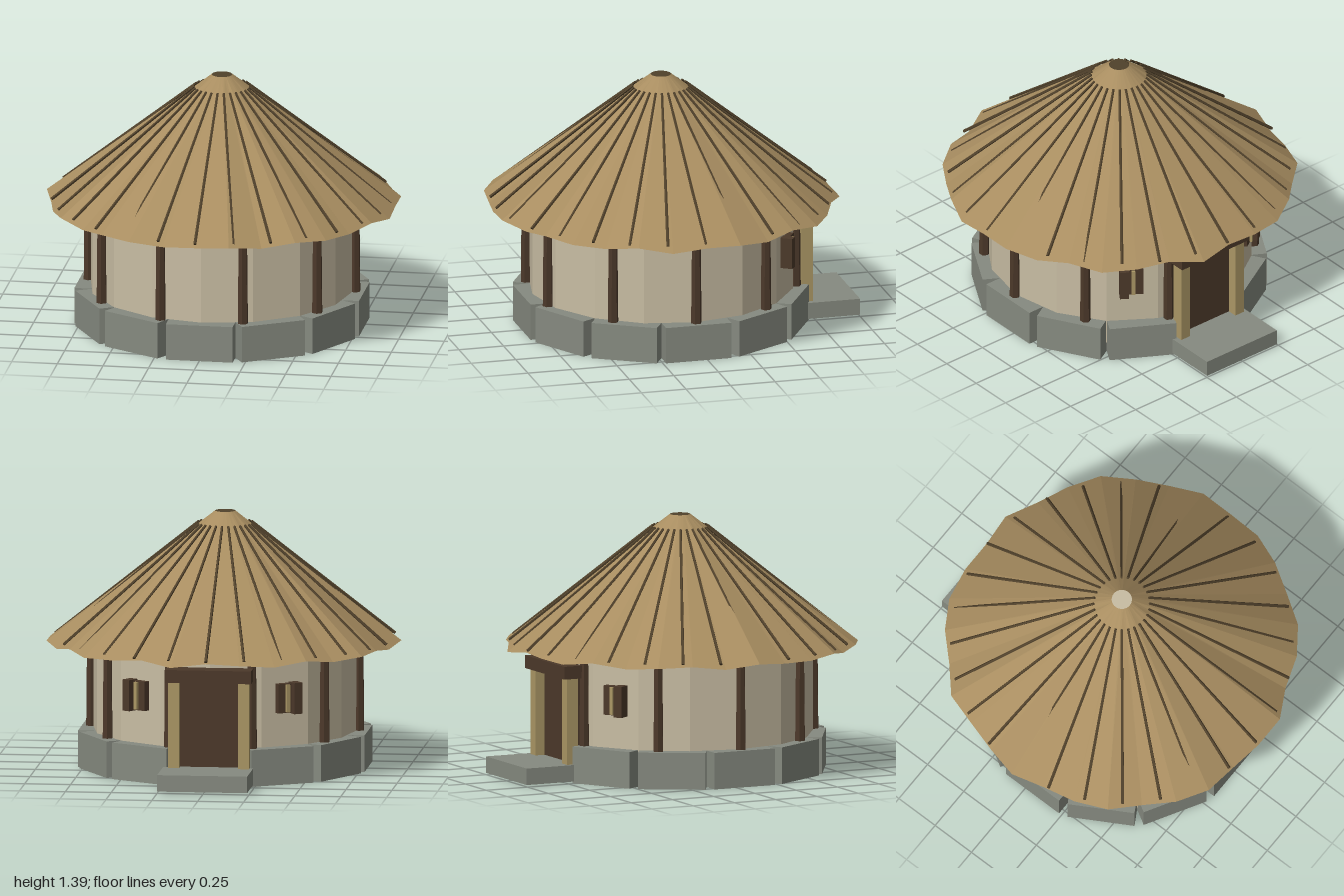
import * as THREE from 'three';

const mat = (color, side = THREE.FrontSide) =>
  new THREE.MeshStandardMaterial({ color, side, flatShading: true });

export function createModel() {
  const thatch = mat(0xa88d60, THREE.DoubleSide);
  const plaster = mat(0xc8bda3);
  const stone = mat(0x868a80);
  const darkWood = mat(0x4c392a);
  const paleWood = mat(0xab9765);
  const rope = mat(0x50412b);

  const model = new THREE.Group();
  model.name = 'roundHut';
  const hut = new THREE.Group();
  hut.name = 'hut';
  hut.position.z = 0.05;
  model.add(hut);

  const add = (name, geometry, material, x = 0, y = 0, z = 0, parent = hut) => {
    const mesh = new THREE.Mesh(geometry, material);
    mesh.name = name;
    mesh.position.set(x, y, z);
    parent.add(mesh);
    return mesh;
  };
  const box = (name, w, h, d, material, x, y, z, parent) =>
    add(name, new THREE.BoxGeometry(w, h, d), material, x, y, z, parent);
  // Point at an angle around the hut, measured from the front
  const around = (angle, r, y) =>
    new THREE.Vector3(r * Math.sin(angle), y, r * Math.cos(angle));

  // Foundation: twelve blocks, the one under the door is a low threshold
  for (let i = 0; i < 12; i++) {
    const a = (i / 12) * Math.PI * 2;
    const h = i === 6 ? 0.1 : 0.2;
    const p = around(a, 0.68, h / 2);
    box(i === 6 ? 'threshold' : 'foundationStone', 0.366, h, 0.2, stone, p.x, p.y, p.z).rotation.y = a;
  }

  // Plastered wall, closed by floor and ceiling
  add('wall', new THREE.CylinderGeometry(0.72, 0.72, 0.66, 16), plaster, 0, 0.39, 0);

  // Wall posts
  for (let i = 0; i < 10; i++) {
    const p = around(((i + 0.5) / 10) * Math.PI * 2, 0.73, 0.435);
    add('wallPost', new THREE.CylinderGeometry(0.024, 0.03, 0.57, 6), darkWood, p.x, p.y, p.z);
  }

  // Thatched roof with an open smoke hole, ragged eaves and a soffit
  const eaves = [
    0.94, 0.96, 0.92, 0.95, 0.96, 0.94, 0.95, 0.967, 0.95, 0.97, 0.95, 0.946, 0.976, 0.95, 0.93, 0.97,
    0.93, 0.95, 0.97, 0.96, 0.94, 0.97, 0.935, 0.93, 0.96, 0.925, 0.94, 0.96, 0.93, 0.957, 0.965, 0.93,
  ];
  const profile = [[0.055, 1.39], [0.95, 0.685], [0.66, 0.71]].map(([r, y]) => new THREE.Vector2(r, y));
  const roof = new THREE.LatheGeometry(profile, 32);
  for (let i = 0; i <= 32; i++) {
    const k = i % 32;
    const p = around((k / 32) * Math.PI * 2, eaves[k], 0.685 + 0.013 * Math.sin(k * 2.4));
    roof.attributes.position.setXYZ(i * 3 + 1, p.x, p.y, p.z);
  }
  roof.computeVertexNormals();
  add('roof', roof, thatch);

  // Thin battens holding the thatch down
  const up = new THREE.Vector3(0, 1, 0);
  for (let i = 0; i < 28; i++) {
    const a = (i / 28) * Math.PI * 2;
    const top = around(a, 0.15, 1.325);
    const end = around(a, 0.925, 0.703);
    const dir = top.clone().sub(end);
    const mid = top.clone().add(end).multiplyScalar(0.5);
    const batten = add('roofBatten', new THREE.CylinderGeometry(0.007, 0.009, dir.length(), 5), rope, mid.x, mid.y, mid.z);
    batten.quaternion.setFromUnitVectors(up, dir.normalize());
  }

  // Doorway at the back: panel, jambs, lintel and step
  box('door', 0.33, 0.48, 0.06, darkWood, 0, 0.34, -0.71);
  for (const s of [-1, 1]) box('doorJamb', 0.06, 0.48, 0.065, paleWood, s * 0.19, 0.335, -0.7625);
  box('lintel', 0.47, 0.07, 0.11, darkWood, 0, 0.605, -0.765);
  box('doorStep', 0.49, 0.09, 0.3, stone, 0.005, 0.055, -0.9);

  // A shuttered window on each side of the door
  for (const s of [-1, 1]) {
    const a = Math.PI - s * 0.6;
    const win = new THREE.Group();
    win.name = 'window';
    win.position.copy(around(a, 0.72, 0.465));
    win.rotation.y = a;
    hut.add(win);
    box('windowPane', 0.13, 0.16, 0.04, darkWood, 0, 0, 0, win);
    box('windowBar', 0.02, 0.15, 0.05, paleWood, s * 0.01, 0, 0.01, win);
    // Local +x points towards the door on the left side
    box('shutter', 0.05, 0.17, 0.08, darkWood, -s * 0.04, 0, 0.015, win);
  }

  return model;
}
